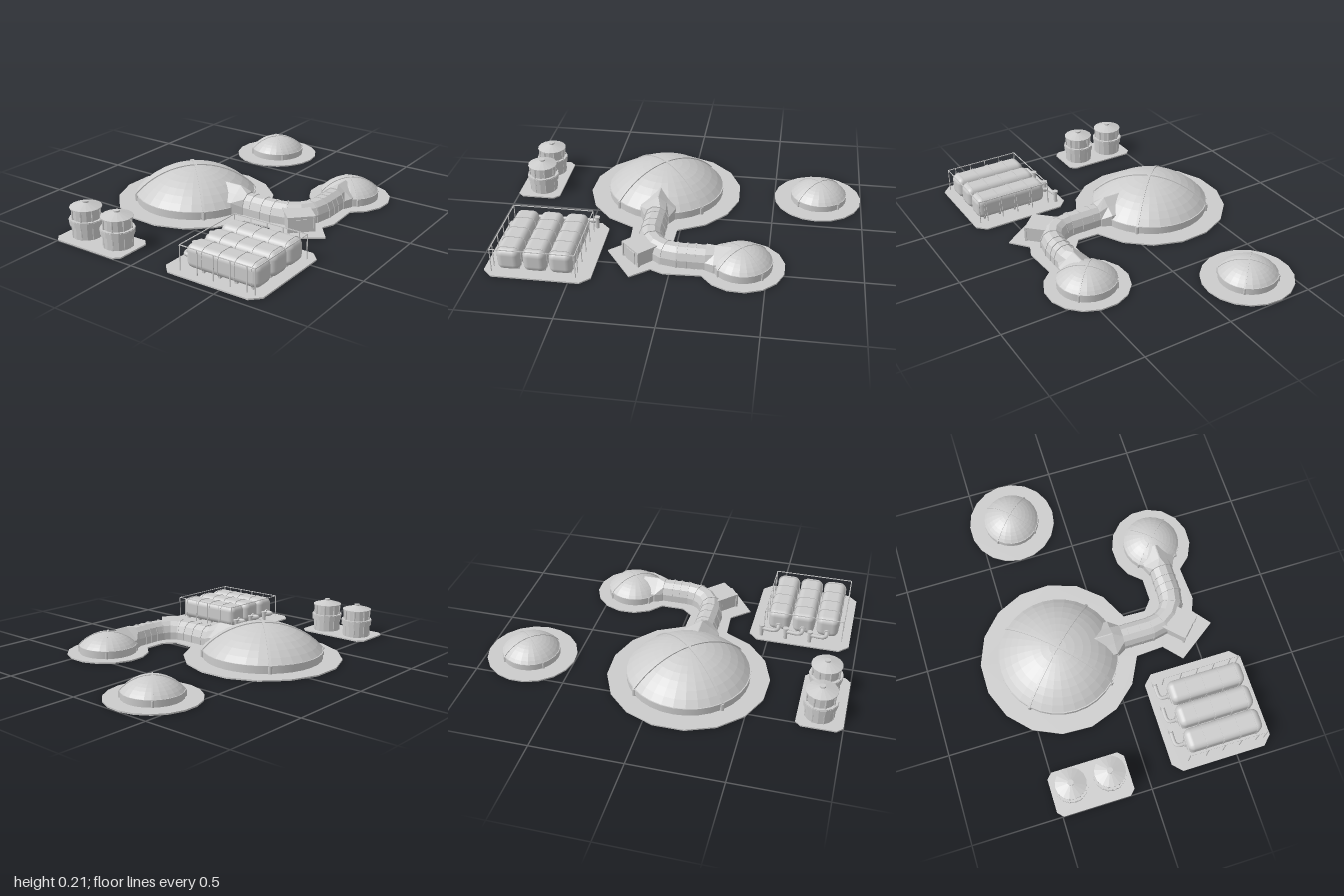
import * as THREE from 'three';
import { RoundedBoxGeometry } from 'three/addons/geometries/RoundedBoxGeometry.js';

const smooth = new THREE.MeshStandardMaterial({ color: 0xcccccc, side: THREE.DoubleSide });
const flat = new THREE.MeshStandardMaterial({ color: 0xcccccc, flatShading: true, side: THREE.DoubleSide });
const PAD = 0.008;

function add(parent, name, geometry, material = flat, x = 0, y = 0, z = 0) {
  const mesh = new THREE.Mesh(geometry, material);
  mesh.name = name;
  mesh.position.set(x, y, z);
  parent.add(mesh);
  return mesh;
}

function group(parent, name, x = 0, z = 0) {
  const g = new THREE.Group();
  g.name = name;
  g.position.set(x, 0, z);
  parent.add(g);
  return g;
}

function arc(cx, cy, r, from, to, n) {
  return Array.from({ length: n + 1 }, (_, i) => {
    const a = THREE.MathUtils.degToRad(from + (to - from) * i / n);
    return new THREE.Vector2(cx + r * Math.cos(a), cy + r * Math.sin(a));
  });
}

// Rectangle outline with chamfered (n = 1) or rounded corners
function rect(w, h, r, n) {
  const x = w / 2 - r, y = h / 2 - r;
  return [...arc(x, y, r, 0, 90, n), ...arc(-x, y, r, 90, 180, n),
    ...arc(-x, -y, r, 180, 270, n), ...arc(x, -y, r, 270, 360, n)];
}

// Flat slab from an outline in x and z
function slab(points) {
  const g = new THREE.ExtrudeGeometry(new THREE.Shape(points), { depth: PAD, bevelEnabled: false });
  return g.rotateX(Math.PI / 2).translate(0, PAD, 0);
}

// Skin through stations {x, z, a: heading, s: section of [side, height]}
function loft(stations) {
  const pos = [], index = [], n = stations[0].s.length;
  for (const { x, z, a, s } of stations)
    for (const [side, y] of s) pos.push(x - Math.sin(a) * side, y, z + Math.cos(a) * side);
  for (let i = 0; i < stations.length - 1; i++)
    for (let j = 0; j < n - 1; j++) {
      const p = i * n + j, q = p + n;
      index.push(p, q, q + 1, p, q + 1, p + 1);
    }
  const g = new THREE.BufferGeometry();
  g.setAttribute('position', new THREE.Float32BufferAttribute(pos, 3));
  g.setIndex(index);
  g.computeVertexNormals();
  return g;
}

const mirrorSection = half => [...half, ...half.slice().reverse().map(([s, y]) => [-s, y])];
const hall = mirrorSection([[0.065, 0], [0.065, 0.05], [0.049, 0.088], [0.02, 0.109]]);
const scaled = k => hall.map(([s, y]) => [s * k, y * k]);

// Dome: upright wall, spherical cap, and two crossing ribs
function dome(parent, name, x, z, r, wall, height, ribWidth, segments) {
  const g = group(parent, name, x, z);
  const h = height - wall, R = (r * r + h * h) / (2 * h), cy = height - R;
  const half = THREE.MathUtils.radToDeg(Math.asin(r / R));
  add(g, 'wall', new THREE.CylinderGeometry(r, r, wall, segments, 1, true), smooth, 0, wall / 2);
  add(g, 'wallRim', new THREE.CylinderGeometry(r * 1.01, r * 1.01, 0.005, segments), smooth, 0, wall);
  add(g, 'cap', new THREE.LatheGeometry(arc(0, cy, R, 90 - half, 90, 8), segments));
  const t = ribWidth * 0.4, outer = arc(0, cy, R + t, 90 - half, 90 + half, 24);
  const inner = arc(0, cy, R - t, 90 + half, 90 - half, 24);
  const e = r + t;
  const shape = new THREE.Shape([new THREE.Vector2(e, 0), ...outer, new THREE.Vector2(-e, 0),
    new THREE.Vector2(-r + t, 0), ...inner, new THREE.Vector2(r - t, 0)]);
  for (const a of [45, 135]) {
    const rib = new THREE.ExtrudeGeometry(shape, { depth: ribWidth, bevelEnabled: false });
    add(g, 'rib', rib.translate(0, 0, -ribWidth / 2)).rotation.y = THREE.MathUtils.degToRad(a);
    for (const s of [0, 180]) {
      const p = arc(0, 0, r, a + s, a + s, 1)[0];
      add(g, 'ribFoot', new THREE.CylinderGeometry(ribWidth * 0.8, ribWidth * 0.8, wall, 8), flat, p.x, wall / 2, p.y);
    }
  }
}

// Curved hall that joins the two domes
function corridor(parent) {
  const g = group(parent, 'corridor');
  const bend = arc(0.275, -0.03, 0.17, 90, 0, 4).map((p, i) => ({ x: p.x, z: p.y, a: -i * Math.PI / 8, s: hall }));
  const start = { x: 0.08, z: 0.14, a: 0, s: hall };
  const end = { x: 0.445, z: -0.2, a: -Math.PI / 2, s: hall };
  add(g, 'tunnel', loft([start, ...bend, end]));
  const bands = [{ ...start, x: 0.14 }, { ...start, x: 0.21 }, bend[0], bend[1], bend[3], bend[4],
    { ...end, z: -0.08 }, { ...end, z: -0.125 }];
  for (const b of bands) {
    const at = (d, k) => ({ x: b.x + Math.cos(b.a) * d, z: b.z + Math.sin(b.a) * d, a: b.a, s: scaled(k) });
    add(g, 'band', loft([at(-0.004, 0.98), at(-0.004, 1.04), at(0.004, 1.04), at(0.004, 0.98)]));
  }
  // Gabled collars that run into the domes
  const big = mirrorSection([[0.1, 0], [0.1, 0.075], [0.05, 0.11], [0.003, 0.146]]);
  const small = mirrorSection([[0.09, 0], [0.09, 0.058], [0.045, 0.092], [0.003, 0.122]]);
  add(g, 'mainCollar', loft([{ ...start, x: -0.07, s: big }, { ...start, x: 0.03, s: big },
    { ...start, x: 0.045, s: big }, { ...start, x: 0.1, s: scaled(1.06) }, { ...start, x: 0.1, s: scaled(0.98) }]));
  add(g, 'smallCollar', loft([{ ...end, z: -0.18, s: scaled(0.98) }, { ...end, z: -0.18, s: scaled(1.06) },
    { ...end, z: -0.225, s: small }, { ...end, z: -0.235, s: small }, { ...end, z: -0.31, s: small }]));
  // Entrance on the outside of the bend
  const porch = group(g, 'entrance', 0.425, 0.158);
  porch.rotation.y = Math.PI / 4;
  add(porch, 'porchWalls', new THREE.BoxGeometry(0.135, 0.09, 0.16), flat, 0, 0.045, 0);
  add(porch, 'porchRoof', new THREE.BoxGeometry(0.15, 0.006, 0.165), flat, 0, 0.092, 0.002);
  for (const s of [-1, 1]) add(porch, 'doorPost', new THREE.BoxGeometry(0.012, 0.09, 0.012), flat, s * 0.068, 0.045, 0.08);
  add(porch, 'door', new THREE.BoxGeometry(0.08, 0.07, 0.006), flat, 0, 0.043, 0.081);
}

// Three strapped tanks with feed pipes inside a light frame
function tankFarm(parent) {
  const g = group(parent, 'tankFarm', 0.4265, 0.674);
  add(g, 'tankPad', slab(rect(0.567, 0.567, 0.05, 1)));
  const strapX = [-0.09, 0.005, 0.1, 0.195].map(x => x - 0.024);
  for (const z of [-0.138, 0, 0.138]) {
    const tank = group(g, 'tank', 0.028, z + 0.012);
    add(tank, 'tankBody', new RoundedBoxGeometry(0.424, 0.124, 0.124, 3, 0.035), smooth, 0, 0.075);
    for (const x of strapX) {
      const strap = new THREE.ExtrudeGeometry(new THREE.Shape(rect(0.131, 0.131, 0.037, 4)), { depth: 0.006, bevelEnabled: false });
      add(tank, 'strap', strap.rotateY(Math.PI / 2), flat, x, 0.075);
      for (const s of [-1, 1]) add(tank, 'tankFoot', new THREE.BoxGeometry(0.012, 0.03, 0.02), flat, x + 0.003, 0.015, s * 0.04);
    }
    const path = new THREE.CatmullRomCurve3([[-0.2, 0.05, 0], [-0.25, 0.05, 0], [-0.262, 0.05, -0.012],
      [-0.265, 0.05, -0.03], [-0.265, 0.055, -0.085]].map(p => new THREE.Vector3(...p)));
    add(tank, 'feedPipe', new THREE.TubeGeometry(path, 20, 0.011, 8), smooth);
    add(tank, 'riser', new THREE.CylinderGeometry(0.011, 0.011, 0.07, 8), smooth, -0.265, 0.035, -0.09);
    add(tank, 'riserCap', new THREE.CylinderGeometry(0.016, 0.016, 0.01, 10), smooth, -0.265, 0.073, -0.09);
    add(tank, 'pipeFlange', new THREE.CylinderGeometry(0.018, 0.018, 0.008, 10).rotateZ(Math.PI / 2), smooth, -0.216, 0.05);
  }
  const frame = group(g, 'frame', 0.026, 0.016);
  const w = 0.434, d = 0.446, t = 0.004, top = 0.142;
  for (const s of [-1, 1]) {
    add(frame, 'longRail', new THREE.BoxGeometry(w, t, t), flat, 0, top, s * d / 2);
    add(frame, 'endRail', new THREE.BoxGeometry(t, t, d), flat, s * w / 2, top, 0);
    for (const x of [-w / 2, ...strapX, w / 2])
      add(frame, 'post', new THREE.BoxGeometry(t, top, t), flat, x, top / 2, s * d / 2);
  }
}

// Upright silo with a raised belt and a conical roof
function silo(parent, x) {
  const g = group(parent, 'silo', x, 0.869);
  const ring = (name, r1, r2, y1, y2) =>
    add(g, name, new THREE.CylinderGeometry(r2, r1, y2 - y1, 16), flat, 0, (y1 + y2) / 2);
  ring('lowerBody', 0.079, 0.079, 0, 0.075);
  ring('belt', 0.089, 0.089, 0.075, 0.108);
  ring('beltRim', 0.091, 0.091, 0.098, 0.104);
  ring('upperBody', 0.074, 0.074, 0.105, 0.166);
  ring('eave', 0.084, 0.084, 0.164, 0.169);
  ring('roof', 0.084, 0.016, 0.169, 0.19);
  ring('vent', 0.016, 0.016, 0.186, 0.198);
  for (let i = 0; i < 8; i++) {
    const p = arc(0, 0, 0.076, i * 45 + 22.5, i * 45 + 22.5, 1)[0];
    add(g, 'stave', new THREE.CylinderGeometry(0.005, 0.005, 0.165, 6), flat, p.x, 0.0825, p.y);
  }
}

export function createModel() {
  const model = new THREE.Group();
  model.name = 'domeBase';

  // Shared ground slab under the two domes, corridor and entrance
  const corner = (x, z) => new THREE.Vector2(x, z);
  add(model, 'domePad', slab([
    ...arc(-0.27, 0.14, 0.442, 16.3, 343.7, 15),
    corner(0.28, 0.02), corner(0.33, -0.04),
    ...arc(0.445, -0.367, 0.23, 120, 420, 13),
    corner(0.57, 0.03), corner(0.54, 0.1), corner(0.62, 0.2), corner(0.4, 0.355), corner(0.31, 0.255),
  ]));
  dome(model, 'mainDome', -0.27, 0.14, 0.335, 0.05, 0.2, 0.014, 32);
  dome(model, 'smallDome', 0.445, -0.367, 0.162, 0.048, 0.122, 0.008, 24);
  corridor(model);

  add(model, 'outerPad', slab(arc(-0.3, -0.75, 0.25, 18, 360, 18)));
  dome(model, 'outerDome', -0.3, -0.755, 0.16, 0.042, 0.118, 0.008, 24);

  tankFarm(model);

  const siloPad = slab(rect(0.434, 0.245, 0.03, 1));
  add(model, 'siloPad', siloPad, flat, -0.307, 0, 0.8775);
  for (const x of [-0.413, -0.199]) silo(model, x);
  return model;
}
